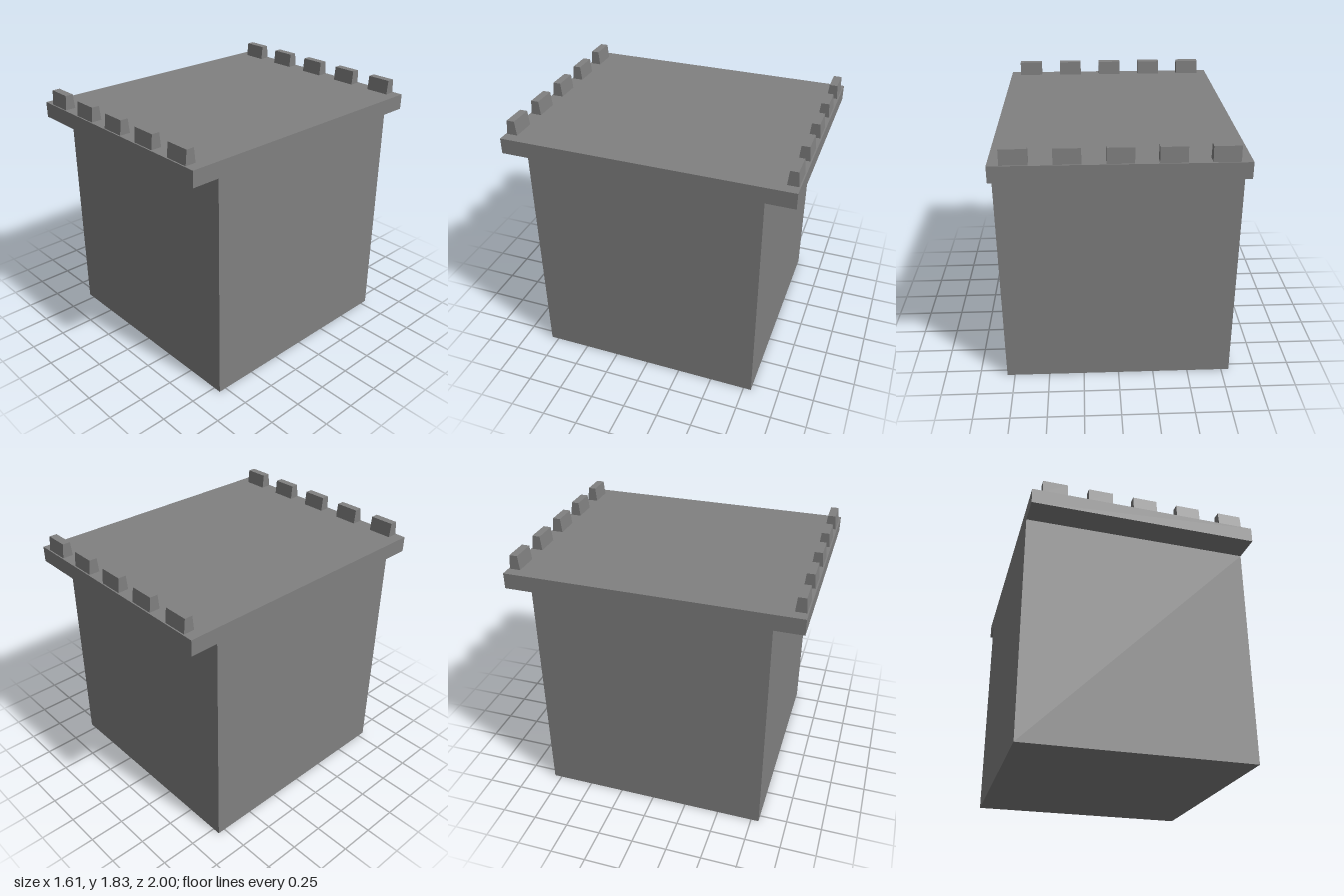
import * as THREE from 'three';

// Extrude a side profile of [z, y] points along x, centred on x = 0
function profileAlongX(points, width) {
  const shape = new THREE.Shape(points.map(([z, y]) => new THREE.Vector2(z, y)));
  const geometry = new THREE.ExtrudeGeometry(shape, { depth: width, bevelEnabled: false });
  geometry.translate(0, 0, -width / 2);
  geometry.rotateY(-Math.PI / 2);
  return geometry;
}

export function createModel() {
  const model = new THREE.Group();
  model.name = 'wallBlock';

  const stone = new THREE.MeshStandardMaterial({ color: 0x808080 });
  stone.name = 'grey stone';

  const deckY = 1.725;

  // Wall block with a walkway overhanging front and back
  const wall = new THREE.Mesh(profileAlongX([
    [-0.805, 0], [0.805, 0], [0.805, 1.615], [1, 1.615],
    [1, deckY], [-1, deckY], [-1, 1.615], [-0.805, 1.615],
  ], 1.61), stone);
  wall.name = 'wallAndWalkway';
  model.add(wall);

  // Tapered battlements in a row along each overhang
  const battlement = profileAlongX([
    [-0.0375, 0], [0.0375, 0], [0.0275, 0.1], [-0.0275, 0.1],
  ], 0.172);
  for (const [side, z] of [['front', 0.953], ['back', -0.953]]) {
    const row = new THREE.Group();
    row.name = `${side}Battlements`;
    for (let i = -2; i <= 2; i++) {
      const block = new THREE.Mesh(battlement, stone);
      block.name = 'battlement';
      block.position.set(i * 0.322, deckY, z);
      row.add(block);
    }
    model.add(row);
  }

  return model;
}
